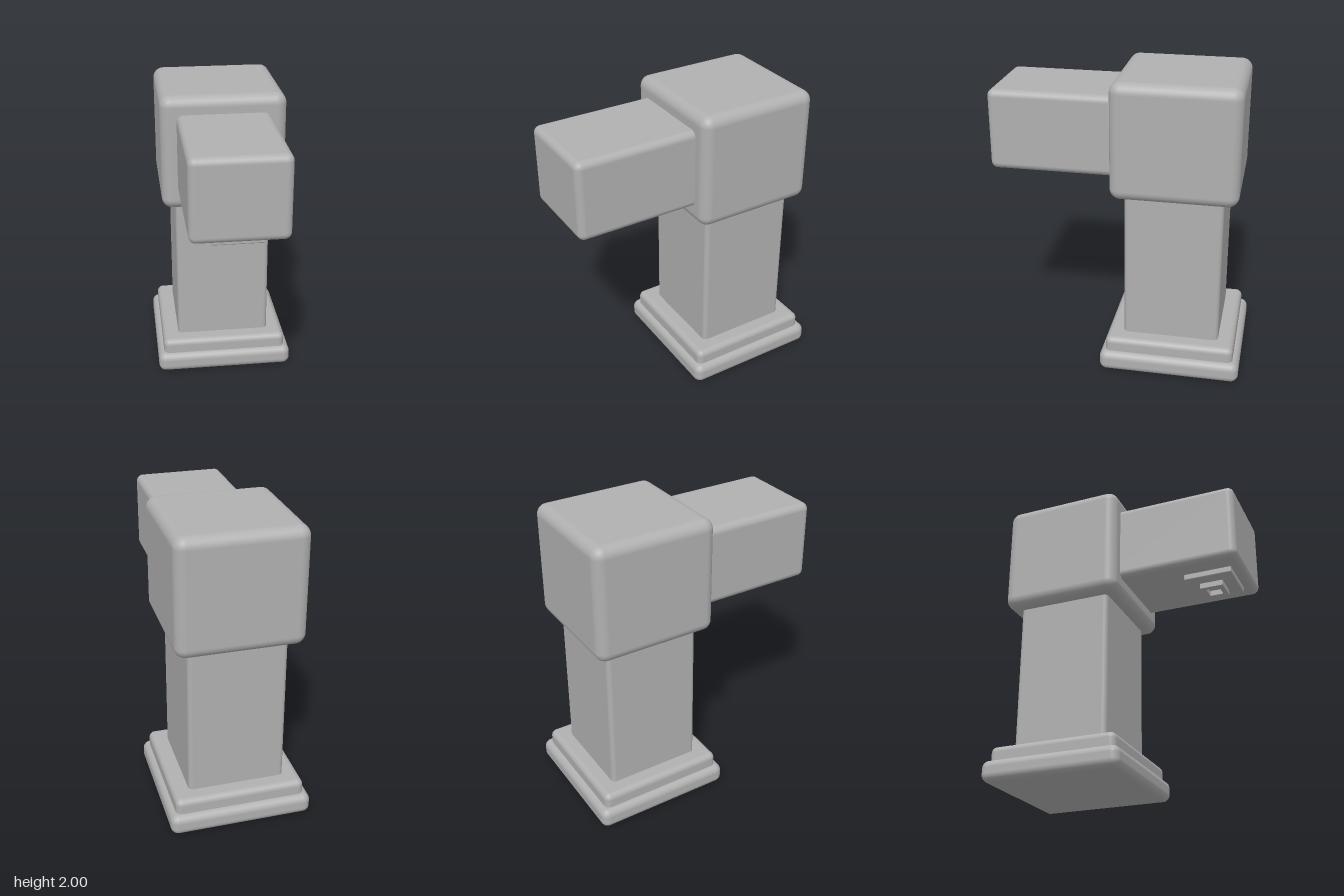
import * as THREE from 'three';
import { RoundedBoxGeometry } from 'three/addons/geometries/RoundedBoxGeometry.js';

export function createModel() {
  const model = new THREE.Group();
  model.name = 'faucet';
  const metal = new THREE.MeshStandardMaterial({ color: 0xb0b0b0 });
  metal.name = 'grey metal';

  // Rounded block, centred on x, from its width and y and z ranges
  function block(name, width, [y0, y1], [z0, z1], radius) {
    const geometry = new RoundedBoxGeometry(width, y1 - y0, z1 - z0, 5, radius);
    const mesh = new THREE.Mesh(geometry, metal);
    mesh.name = name;
    mesh.position.set(0, (y0 + y1) / 2, (z0 + z1) / 2);
    model.add(mesh);
  }

  // Stepped foot
  block('basePlate', 0.94, [0, 0.14], [-0.84, 0.1], 0.05);
  block('baseStep', 0.86, [0.09, 0.235], [-0.797, 0.063], 0.04);

  // Upright body and head
  block('column', 0.64, [0.15, 1.3], [-0.687, -0.047], 0.03);
  block('head', 0.82, [1.235, 2], [-0.78, 0.04], 0.07);

  // Horizontal spout and the outlet plate under its tip
  block('spout', 0.61, [1.355, 1.885], [-0.1, 0.84], 0.045);
  block('outletPlate', 0.325, [1.315, 1.375], [0.44, 0.765], 0.008);

  // Square nozzle rim, open at the bottom
  const square = (Path, h) => new Path([[-h, -h], [h, -h], [h, h], [-h, h]]
    .map(([x, y]) => new THREE.Vector2(x, y)));
  const rim = square(THREE.Shape, 0.078);
  rim.holes.push(square(THREE.Path, 0.045));
  const nozzle = new THREE.Mesh(
    new THREE.ExtrudeGeometry(rim, { depth: 0.045, bevelEnabled: false }), metal);
  nozzle.name = 'nozzle';
  nozzle.rotation.x = -Math.PI / 2;
  nozzle.position.set(0, 1.278, 0.603);
  model.add(nozzle);

  return model;
}
